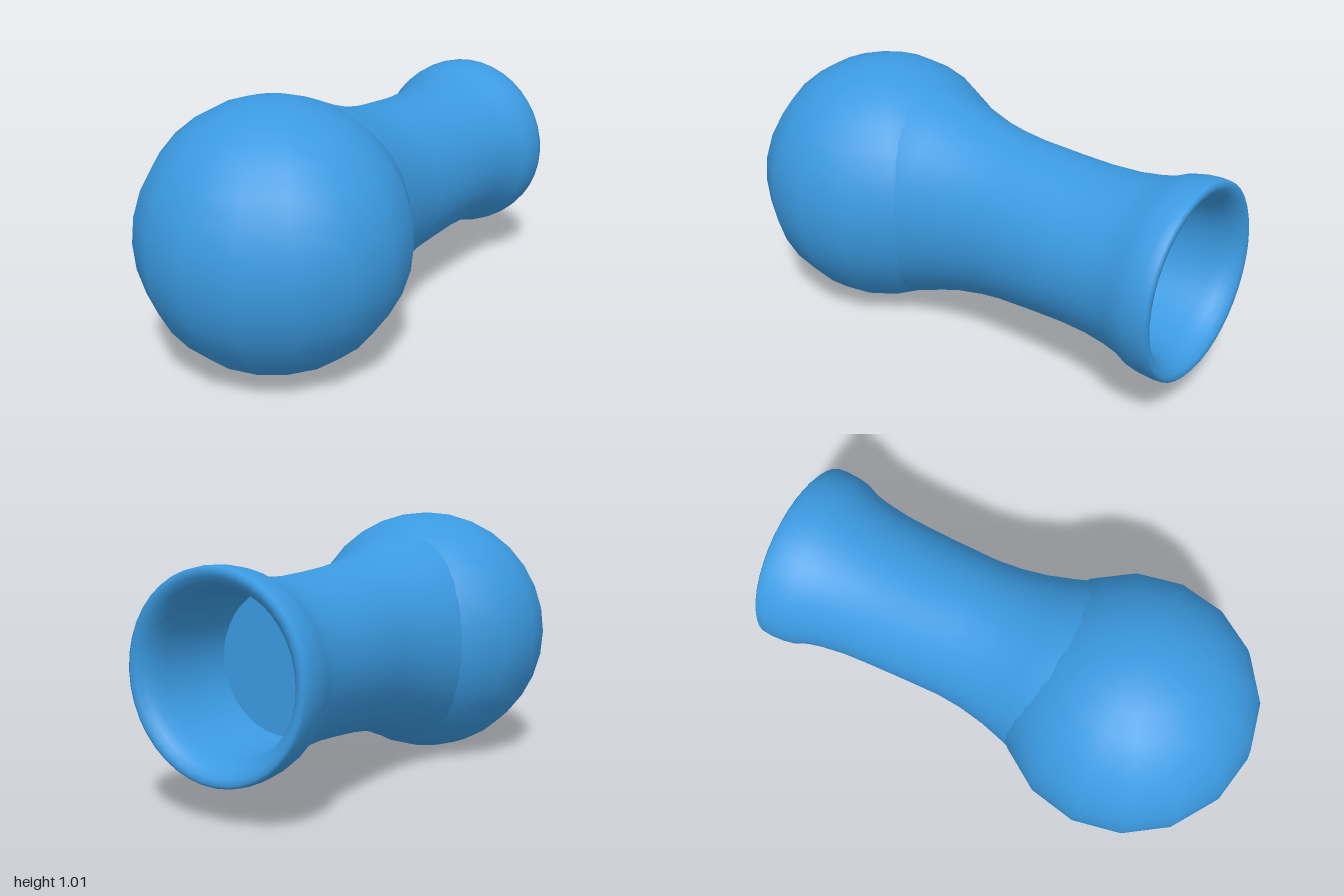
import * as THREE from 'three';
import { mergeVertices } from 'three/addons/utils/BufferGeometryUtils.js';

const BALL_RADIUS = 0.506;

export function createModel() {
  const model = new THREE.Group();
  const material = new THREE.MeshStandardMaterial({ color: 0x3b9ae1 });

  // Everything is built along +y from the ball centre, then laid down towards the back
  const body = new THREE.Group();
  body.name = 'body';
  body.position.set(-0.007, BALL_RADIUS, 0.488);
  body.rotation.y = -0.096;
  model.add(body);

  const add = (name, geometry) => {
    const mesh = new THREE.Mesh(geometry, material);
    mesh.name = name;
    body.add(mesh);
    return mesh;
  };

  // Round end, poles up and down
  add('ball', new THREE.SphereGeometry(BALL_RADIUS, 16, 16));

  // Neck: flares into the ball, waists, widens to the collar, rolls over into the bore
  const profile = [
    [0.45, 0.18], [0.422, 0.31], [0.395, 0.38], [0.36, 0.49], [0.338, 0.6],
    [0.325, 0.7], [0.312, 0.87], [0.305, 1.0], [0.308, 1.12], [0.322, 1.22],
    [0.336, 1.28], [0.358, 1.33], [0.367, 1.375], [0.37, 1.42], [0.367, 1.455],
    [0.355, 1.463], [0.335, 1.458], [0.315, 1.44], [0.298, 1.41], [0.288, 1.36],
    [0.28, 1.25], [0.27, 1.05],
  ].map(([r, s]) => new THREE.Vector2(r, s));
  let neck = new THREE.LatheGeometry(profile, 40);

  // Narrow the sides near the ball so the section turns from oval to round
  const p = neck.attributes.position;
  for (let i = 0; i < p.count; i++) {
    const round = THREE.MathUtils.smoothstep(p.getY(i), 0.6, 1.1);
    p.setX(i, p.getX(i) * THREE.MathUtils.lerp(0.88, 1, round));
  }
  neck.deleteAttribute('uv');
  neck.deleteAttribute('normal');
  neck = mergeVertices(neck, 1e-4);
  neck.computeVertexNormals();
  neck.rotateX(-Math.PI / 2);
  add('neck', neck);

  // Flat floor at the bottom of the bore
  const floor = new THREE.CircleGeometry(0.272, 40);
  floor.rotateY(Math.PI);
  add('boreFloor', floor).position.z = -1.06;

  return model;
}
